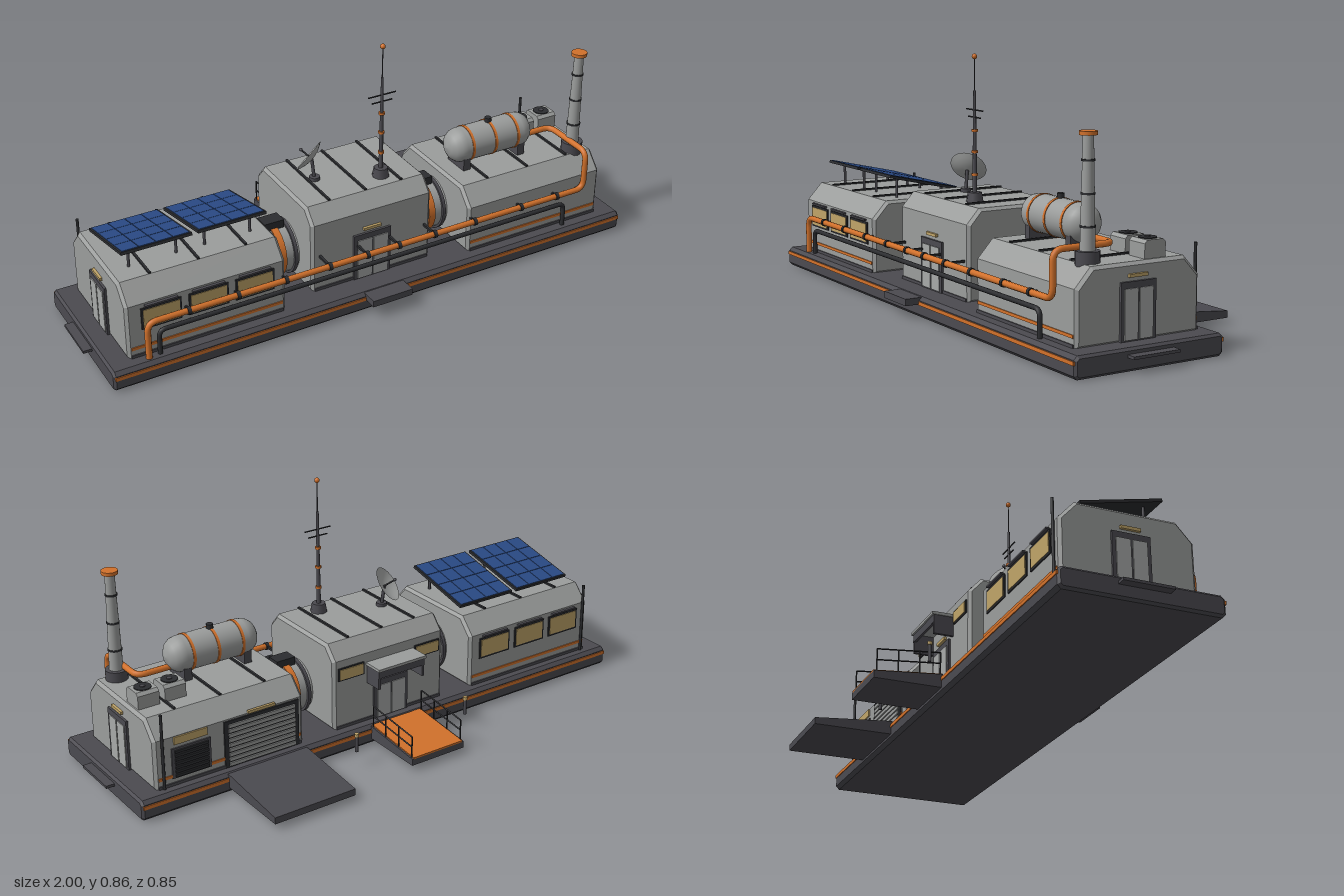
import * as THREE from 'three';

export function createModel() {
  const root = new THREE.Group();
  root.name = 'outpostStation';
  const mat = (name, color, extra = {}) => Object.assign(new THREE.MeshStandardMaterial({ color, ...extra }), { name });
  const wall = mat('wallGrey', 0x9b9d9c), dark = mat('darkGrey', 0x4b4a50), black = mat('charcoal', 0x2c2d30);
  const orange = mat('orange', 0xd2712b), tan = mat('windowTan', 0xc0a468), blue = mat('solarBlue', 0x2a4a85);
  const pale = mat('paleGrey', 0xa8aaa9, { side: THREE.DoubleSide });

  const add = (name, geo, m, x = 0, y = 0, z = 0, parent = root) => {
    const mesh = new THREE.Mesh(geo, m);
    mesh.name = name;
    mesh.position.set(x, y, z);
    parent.add(mesh);
    return mesh;
  };
  // box given by its limits
  const box = (name, m, x0, x1, y0, y1, z0, z1, parent) =>
    add(name, new THREE.BoxGeometry(x1 - x0, y1 - y0, z1 - z0), m, (x0 + x1) / 2, (y0 + y1) / 2, (z0 + z1) / 2, parent);
  const cyl = (name, m, r0, r1, y0, y1, x, z, n = 20) =>
    add(name, new THREE.CylinderGeometry(r1, r0, y1 - y0, n), m, x, (y0 + y1) / 2, z);
  const cylX = (name, m, r, x0, x1, y, z, n = 28) =>
    add(name, new THREE.CylinderGeometry(r, r, x1 - x0, n).rotateZ(Math.PI / 2), m, (x0 + x1) / 2, y, z);
  const rod = (name, m, r, a, b) => {
    const A = new THREE.Vector3(...a), B = new THREE.Vector3(...b);
    const mesh = add(name, new THREE.CylinderGeometry(r, r, A.distanceTo(B), 8), m);
    mesh.position.copy(A).add(B).multiplyScalar(0.5);
    mesh.quaternion.setFromUnitVectors(new THREE.Vector3(0, 1, 0), B.sub(A).normalize());
  };
  // z-y profile extruded along x, with a small bevel
  const prism = (name, m, pts, x0, x1, bevel = 0) => {
    const shape = new THREE.Shape(pts.map(([z, y]) => new THREE.Vector2(-z, y)));
    const geo = new THREE.ExtrudeGeometry(shape, {
      depth: x1 - x0 - 2 * bevel, bevelEnabled: bevel > 0, bevelThickness: bevel, bevelSize: bevel, bevelOffset: -bevel, bevelSegments: 1,
    }).rotateY(Math.PI / 2);
    return add(name, geo, m, x0 + bevel, 0, 0);
  };
  // pipe with rounded elbows
  const pipe = (name, m, r, pts, bend) => {
    const v = pts.map(p => new THREE.Vector3(...p)), path = new THREE.CurvePath();
    let last = v[0];
    for (let i = 1; i < v.length - 1; i++) {
      const a = v[i].clone().add(v[i - 1].clone().sub(v[i]).setLength(bend));
      const b = v[i].clone().add(v[i + 1].clone().sub(v[i]).setLength(bend));
      path.add(new THREE.LineCurve3(last, a));
      path.add(new THREE.QuadraticBezierCurve3(a, v[i], b));
      last = b;
    }
    path.add(new THREE.LineCurve3(last, v[v.length - 1]));
    add(name, new THREE.TubeGeometry(path, 240, r, 10), m);
  };

  // base platform
  prism('basePlatform', dark, [[0.363, 0], [0.375, 0.012], [0.375, 0.058], [0.363, 0.07], [-0.143, 0.07],
    [-0.155, 0.058], [-0.155, 0.012], [-0.143, 0]].reverse(), -0.97, 0.97, 0.008);
  for (const z of [0.375, -0.155]) box('baseStripe', orange, -0.965, 0.965, 0.043, 0.055, z - 0.003, z + 0.003);
  for (const s of [-1, 1]) {
    const x = s * 0.98;
    box('endLedge', dark, x - 0.02, x + 0.02, 0.043, 0.052, 0.03, 0.195);
  }
  box('frontStep', dark, -0.08, 0.07, 0.045, 0.068, 0.36, 0.425);

  // three habitat modules with chamfered roofs
  const modules = [[-0.9, -0.35, 0.32, -0.115, 0.325], [-0.23, 0.225, 0.37, -0.11, 0.28], [0.35, 0.9, 0.3, -0.115, 0.325]];
  modules.forEach(([x0, x1, top, z0, z1], i) => {
    const c = i === 1 ? 0.045 : 0.055;
    prism('habitatModule', wall, [[z1, 0.065], [z1, top - c - 0.005], [z1 - c, top], [z0 + c, top],
      [z0, top - c - 0.005], [z0, 0.065]].reverse(), x0, x1, 0.01);
    for (const f of [0.2, 0.5, 0.8]) {
      const x = x0 + (x1 - x0) * f;
      box('roofRib', black, x - 0.004, x + 0.004, top - 0.004, top + 0.006, z0 + c, z1 - c);
    }
    for (const z of [z0, z1]) {
      box('skirt', dark, x0 + 0.01, x1 - 0.01, 0.068, 0.08, z - 0.004, z + 0.004);
      if (i !== 1) box('wallStripe', orange, x0 + 0.012, x1 - 0.012, 0.098, 0.108, z - 0.003, z + 0.003);
    }
  });

  // connecting tunnels
  for (const x of [-0.29, 0.288]) {
    cylX('tunnel', wall, 0.09, x - 0.07, x + 0.07, 0.163, 0.105);
    cylX('tunnelBand', orange, 0.095, x - 0.012, x + 0.012, 0.163, 0.105);
    for (const s of [-1, 1]) cylX('tunnelCollar', dark, 0.098, x + s * 0.046 - 0.006, x + s * 0.046 + 0.006, 0.163, 0.105);
    box('tunnelHatch', black, x - 0.036, x + 0.036, 0.245, 0.277, 0.08, 0.132);
  }

  // windows on the living module, front and back
  for (const [z, s] of [[0.325, 1], [-0.115, -1]])
    for (const x of [-0.782, -0.621, -0.46]) {
      box('windowFrame', black, x - 0.068, x + 0.068, 0.166, 0.244, z - 0.004, z + 0.004);
      box('windowPane', tan, x - 0.061, x + 0.061, 0.173, 0.237, z + s * 0.002 - 0.004, z + s * 0.002 + 0.004);
      box('windowSill', dark, x - 0.055, x + 0.055, 0.248, 0.254, z - 0.01, z + 0.01);
    }

  // double doors, built facing +z and turned to each wall
  const door = (x, z, turn, w, h) => {
    const g = new THREE.Group();
    g.name = 'doubleDoor';
    g.position.set(x, 0.07, z);
    g.rotation.y = turn;
    root.add(g);
    box('doorFrame', dark, -w / 2, w / 2, 0, h, -0.004, 0.008, g);
    for (const s of [-1, 1]) {
      const c = s * w * 0.215;
      box('doorLeaf', pale, c - w * 0.19, c + w * 0.19, 0.004, h - 0.02, 0.004, 0.011, g);
    }
    box('doorLamp', tan, -0.033, 0.033, h + 0.012, h + 0.022, 0, 0.009, g);
  };
  door(-0.005, 0.28, 0, 0.14, 0.17);
  door(0.9, 0.112, Math.PI / 2, 0.125, 0.175);
  door(-0.9, 0.112, -Math.PI / 2, 0.125, 0.175);
  door(-0.005, -0.11, Math.PI, 0.14, 0.14);

  // rear entrance canopy, wide windows
  box('canopyRoof', wall, -0.103, 0.093, 0.276, 0.286, -0.185, -0.11);
  for (const x of [-0.1, 0.08]) box('canopySide', dark, x, x + 0.01, 0.21, 0.277, -0.178, -0.11);
  box('canopyFront', dark, -0.1, 0.09, 0.25, 0.277, -0.179, -0.17);
  for (const x of [-0.16, 0.155]) {
    box('stripFrame', black, x - 0.052, x + 0.052, 0.247, 0.293, -0.114, -0.106);
    box('stripWindow', tan, x - 0.047, x + 0.047, 0.252, 0.288, -0.117, -0.109);
  }

  // cargo shutter and louvre on the rear of the service module
  box('shutterFrame', black, 0.37, 0.65, 0.07, 0.235, -0.12, -0.112);
  for (let i = 0; i < 9; i++) box('shutterSlat', wall, 0.385, 0.635, 0.075 + i * 0.017, 0.087 + i * 0.017, -0.125, -0.117);
  box('shutterLamp', tan, 0.46, 0.56, 0.24, 0.25, -0.122, -0.113);
  box('louvreFrame', dark, 0.7, 0.84, 0.095, 0.2, -0.12, -0.112);
  for (let i = 0; i < 7; i++) box('louvreSlat', black, 0.71, 0.83, 0.1 + i * 0.014, 0.109 + i * 0.014, -0.125, -0.117);
  box('louvreWindow', tan, 0.71, 0.83, 0.212, 0.238, -0.12, -0.112);
  for (const x of [-0.875, 0.872]) cyl('downPipe', black, 0.005, 0.005, 0.07, 0.33, x, -0.121, 8);

  // rear ramps
  prism('cargoRamp', dark, [[-0.15, 0.02], [-0.15, 0.068], [-0.427, 0.043], [-0.427, 0.02]], 0.36, 0.66);
  prism('entryRamp', dark, [[-0.15, 0.02], [-0.15, 0.066], [-0.383, 0.044], [-0.383, 0.02]], -0.112, 0.102);
  prism('entryRampDeck', orange, [[-0.15, 0.064], [-0.15, 0.07], [-0.383, 0.048], [-0.383, 0.042]], -0.106, 0.096);
  for (const x of [-0.106, 0.096]) {
    const at = (z, h) => [x, 0.068 + (z + 0.155) * 0.1 + h, z];
    for (const z of [-0.157, -0.228, -0.3, -0.372]) rod('railPost', black, 0.0025, at(z, -0.01), at(z, 0.074));
    for (const h of [0.037, 0.074]) rod('handRail', black, 0.0025, at(-0.157, h), at(-0.372, h));
  }
  for (const x of [-0.23, 0.225]) {
    cyl('lampPost', dark, 0.006, 0.006, 0.05, 0.106, x, -0.242, 10);
    cyl('lampHead', tan, 0.008, 0.008, 0.106, 0.116, x, -0.242, 10);
  }

  // front pipes and clamps
  pipe('coolantPipe', orange, 0.0105, [[-0.84, 0.07, 0.348], [-0.84, 0.2, 0.348], [0.815, 0.2, 0.348],
    [0.815, 0.344, 0.348], [0.815, 0.344, 0.137], [0.69, 0.344, 0.137]], 0.035);
  pipe('drainPipe', black, 0.008, [[-0.8, 0.07, 0.342], [-0.8, 0.156, 0.342], [0.74, 0.156, 0.342], [0.74, 0.07, 0.342]], 0.025);
  for (const x of [-0.7, -0.53, -0.36, -0.2, -0.06, 0.06, 0.2, 0.36, 0.55, 0.7]) {
    cylX('pipeClamp', black, 0.0135, x - 0.006, x + 0.006, 0.2, 0.348, 12);
    const back = Math.abs(x) < 0.3 ? 0.28 : 0.322;
    box('pipeBracket', black, x - 0.004, x + 0.004, 0.196, 0.204, back, 0.348);
  }

  // solar panels tilted toward the rear
  for (const x of [-0.75, -0.492]) {
    const g = new THREE.Group();
    g.name = 'solarPanel';
    g.position.set(x, 0.37, 0.108);
    g.rotation.x = -0.225;
    root.add(g);
    box('panelFrame', black, -0.119, 0.119, -0.005, 0.005, -0.14, 0.14, g);
    for (let i = 0; i < 4; i++) for (let j = 0; j < 4; j++) {
      const cx = -0.0855 + i * 0.057, cz = -0.102 + j * 0.068;
      box('solarCell', blue, cx - 0.0275, cx + 0.0275, 0.003, 0.007, cz - 0.033, cz + 0.033, g);
    }
    for (const s of [-0.08, 0.08]) {
      cyl('panelLegFront', dark, 0.005, 0.005, 0.31, 0.39, x + s, 0.2, 8);
      cyl('panelLegRear', dark, 0.005, 0.005, 0.31, 0.35, x + s, 0.02, 8);
    }
  }

  // satellite dish
  const dish = new THREE.Group();
  dish.name = 'satelliteDish';
  dish.position.set(-0.125, 0.45, 0.075);
  dish.quaternion.setFromUnitVectors(new THREE.Vector3(0, 1, 0), new THREE.Vector3(-0.52, 0.58, -0.62).normalize());
  root.add(dish);
  const bowl = [0, 0.016, 0.032, 0.048, 0.064].map(r => new THREE.Vector2(r, r * r * 4.5 - 0.012));
  add('dishBowl', new THREE.LatheGeometry(bowl, 28), pale, 0, 0, 0, dish);
  add('dishFeed', new THREE.CylinderGeometry(0.003, 0.003, 0.05, 8), black, 0, 0.013, 0, dish);
  add('dishReceiver', new THREE.SphereGeometry(0.006, 10, 8), dark, 0, 0.038, 0, dish);
  rod('dishMount', dark, 0.006, [-0.115, 0.365, 0.09], [-0.12, 0.443, 0.081]);
  cyl('dishFoot', dark, 0.018, 0.018, 0.368, 0.382, -0.115, 0.09);

  // antenna mast
  cyl('mastBase', dark, 0.03, 0.024, 0.368, 0.402, 0.09, 0.175, 8);
  cyl('mast', dark, 0.008, 0.0045, 0.4, 0.735, 0.09, 0.175, 10);
  cyl('mastTip', dark, 0.0022, 0.0015, 0.735, 0.842, 0.09, 0.175, 6);
  for (const y of [0.46, 0.535, 0.605]) cyl('mastBand', orange, 0.0105, 0.0105, y - 0.004, y + 0.004, 0.09, 0.175, 12);
  add('mastBeacon', new THREE.SphereGeometry(0.009, 14, 10), orange, 0.09, 0.846, 0.175);
  for (const [y, w] of [[0.672, 0.052], [0.648, 0.038]]) rod('mastCrossbar', black, 0.0025, [0.09 - w, y, 0.175], [0.09 + w, y, 0.175]);

  // storage tank
  const tank = [[0, -0.168], [0.025, -0.164], [0.045, -0.152], [0.057, -0.135], [0.061, -0.115],
    [0.061, 0.115], [0.057, 0.135], [0.045, 0.152], [0.025, 0.164], [0, 0.168]].map(p => new THREE.Vector2(...p));
  add('storageTank', new THREE.LatheGeometry(tank, 32).rotateZ(-Math.PI / 2), wall, 0.542, 0.379, 0.139);
  for (const x of [0.45, 0.542, 0.634]) cylX('tankBand', orange, 0.063, x - 0.005, x + 0.005, 0.379, 0.139, 32);
  cyl('tankValve', black, 0.012, 0.012, 0.43, 0.455, 0.542, 0.139, 12);
  for (const x of [0.43, 0.655]) box('tankSaddle', dark, x - 0.014, x + 0.014, 0.295, 0.345, 0.09, 0.188);

  // exhaust stack
  cyl('stackBase', dark, 0.037, 0.037, 0.285, 0.335, 0.835, 0.242);
  cyl('stack', wall, 0.023, 0.016, 0.335, 0.668, 0.835, 0.242, 24);
  for (const [y, r] of [[0.405, 0.024], [0.5, 0.0215], [0.596, 0.0205]]) cyl('stackBand', black, r, r, y - 0.003, y + 0.003, 0.835, 0.242);
  cyl('stackCap', orange, 0.027, 0.027, 0.667, 0.679, 0.835, 0.242, 24);

  // rooftop fan units
  for (const x of [0.752, 0.847]) {
    prism('fanUnit', wall, [[0, 0.295], [0, 0.345], [0.01, 0.355], [0.066, 0.355], [0.076, 0.345], [0.076, 0.295]], x - 0.038, x + 0.038);
    cyl('fanGrille', black, 0.028, 0.028, 0.352, 0.358, x, 0.038, 20);
    cyl('fanHub', dark, 0.009, 0.009, 0.355, 0.361, x, 0.038, 12);
  }
  return root;
}
